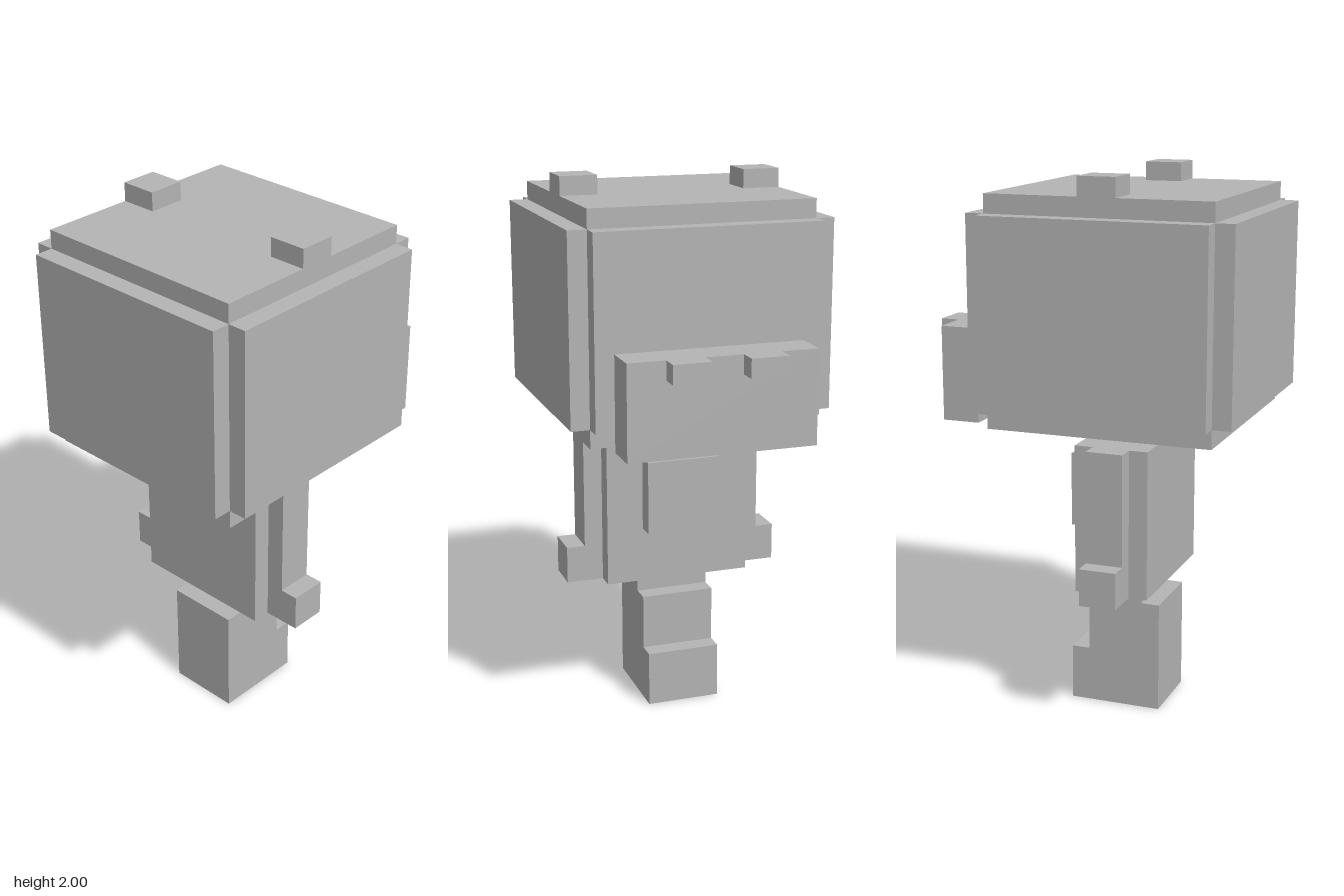
import * as THREE from 'three';

// One block of the grid: the figure is 29 blocks tall
const U = 2 / 29;

export function createModel() {
  const model = new THREE.Group();
  model.name = 'blockFigure';
  const grey = new THREE.MeshStandardMaterial({ color: 0xb4b4b4 });
  grey.name = 'plain grey';

  // Box between two corners, given in blocks
  function block(parent, name, [x0, x1], [y0, y1], [z0, z1]) {
    const geometry = new THREE.BoxGeometry((x1 - x0) * U, (y1 - y0) * U, (z1 - z0) * U);
    const mesh = new THREE.Mesh(geometry, grey);
    mesh.position.set((x0 + x1) / 2 * U, (y0 + y1) / 2 * U, (z0 + z1) / 2 * U);
    mesh.name = name;
    parent.add(mesh);
  }

  // The same box on the left (+x) and the right (-x)
  function pair(parent, name, [x0, x1], y, z) {
    block(parent, 'left' + name, [x0, x1], y, z);
    block(parent, 'right' + name, [-x1, -x0], y, z);
  }

  function part(name) {
    const group = new THREE.Group();
    group.name = name;
    model.add(group);
    return group;
  }

  // Head: a core with a raised plate on each upright side
  const head = part('head');
  block(head, 'headCore', [-6, 6], [16, 28], [-4.5, 7.5]);
  block(head, 'frontPlate', [-6, 6], [17, 27], [7.5, 8.5]);
  block(head, 'backPlate', [-6, 6], [17, 27], [-5.5, -4.5]);
  pair(head, 'SidePlate', [6, 7], [17, 27], [-4.5, 7.5]);
  pair(head, 'Ear', [4, 6], [28, 29], [0.5, 2.5]);

  // Ledge on the back of the head, with two small studs
  block(head, 'ledge', [-5, 5], [16, 21], [-7.5, -5.5]);
  pair(head, 'Stud', [1, 3], [20, 21], [-8.5, -7.5]);

  // Torso, neck and back pack
  const torso = part('torso');
  block(torso, 'neck', [-1, 1], [15, 16], [0.5, 2.5]);
  block(torso, 'body', [-4, 4], [7, 15], [-0.5, 3.5]);
  block(torso, 'backPack', [-2, 2], [10, 14], [-1.5, -0.5]);

  // Arms with hands turned outwards
  const arms = part('arms');
  pair(arms, 'Arm', [4, 5], [7, 15], [0.5, 2.5]);
  pair(arms, 'Hand', [5, 6], [7, 9], [0.5, 2.5]);

  // Single leg with a heel at the back
  const leg = part('leg');
  block(leg, 'hip', [-2, 2], [6, 7], [0.5, 2.5]);
  block(leg, 'shin', [-2, 2], [0, 6], [-0.5, 3.5]);
  block(leg, 'heel', [-2, 2], [0, 3], [-1.5, -0.5]);

  return model;
}
